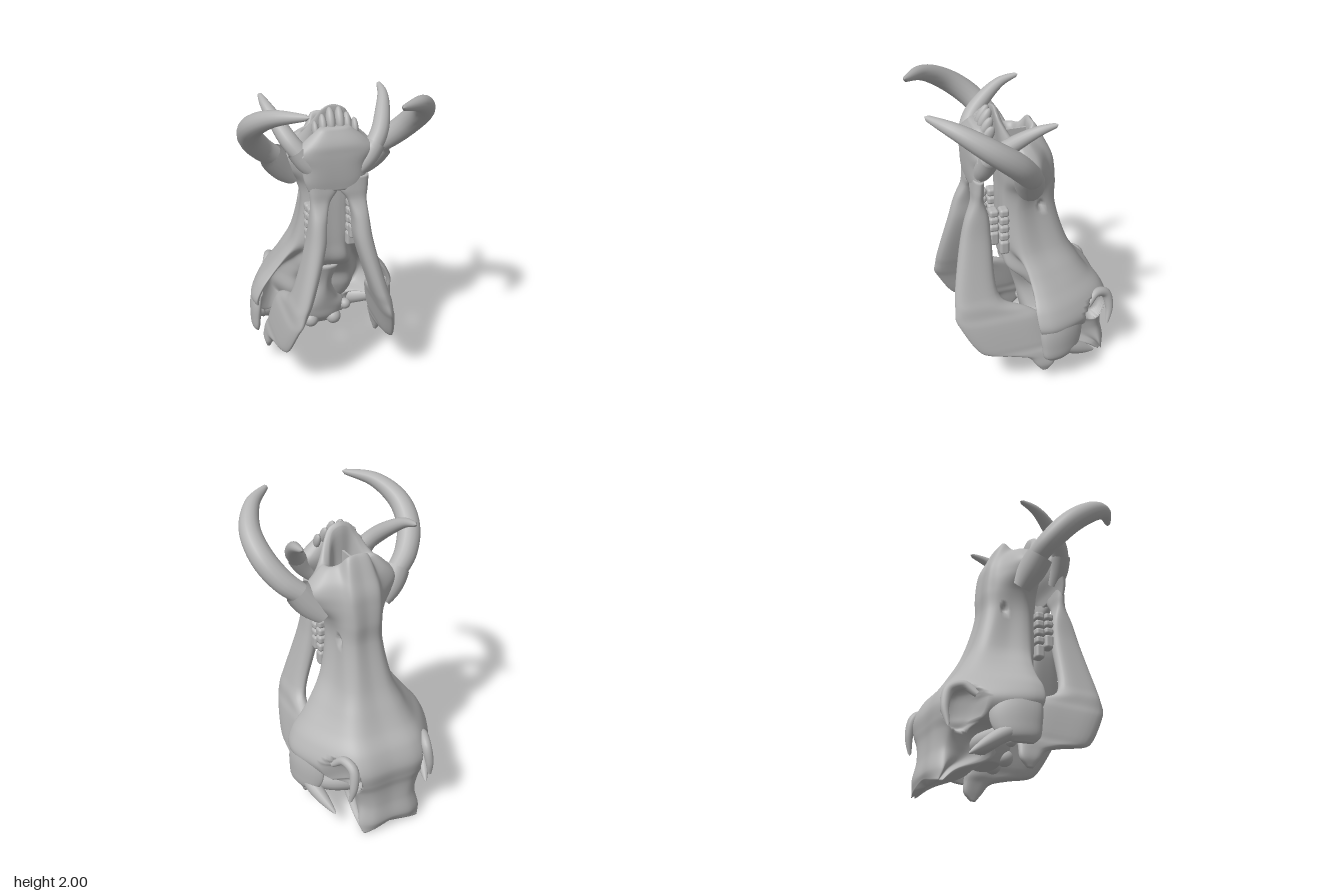
import * as THREE from 'three';
import { RoundedBoxGeometry } from 'three/addons/geometries/RoundedBoxGeometry.js';

const V = (x, y, z) => new THREE.Vector3(x, y, z);

// Smooth closed skin through a stack of control rings; optional rule moves each point.
function skin(rings, around, along, rule) {
  const n = rings[0].length * around;
  const dense = rings.map(r => new THREE.CatmullRomCurve3(r, true).getPoints(n).slice(0, n));
  const rows = (rings.length - 1) * along;
  const pos = new Float32Array((n * (rows + 1) + 2) * 3);
  const index = [];
  for (let j = 0; j < n; j++) {
    const column = new THREE.CatmullRomCurve3(dense.map(r => r[j])).getPoints(rows);
    column.forEach((p, i) => {
      if (rule) rule(p);
      p.toArray(pos, (i * n + j) * 3);
    });
  }
  const bottom = n * (rows + 1), top = bottom + 1;
  for (const [cap, row] of [[bottom, 0], [top, rows]]) {
    const c = V(0, 0, 0);
    for (let j = 0; j < n; j++) c.add(V().fromArray(pos, (row * n + j) * 3));
    c.divideScalar(n).toArray(pos, cap * 3);
  }
  for (let j = 0; j < n; j++) {
    const k = (j + 1) % n;
    index.push(j, k, bottom, rows * n + k, rows * n + j, top);
    for (let i = 0; i < rows; i++) {
      const a = i * n + j, b = i * n + k, c = b + n, d = a + n;
      index.push(a, d, c, a, c, b);
    }
  }
  const g = new THREE.BufferGeometry();
  g.setAttribute('position', new THREE.BufferAttribute(pos, 3));
  g.setIndex(index);
  g.computeVertexNormals();
  return g;
}

// Rounded horizontal section; bend pulls its ends inward.
function oval([y, x, h, zf, zb], bend = 0) {
  const ring = [];
  for (let i = 0; i < 8; i++) {
    const c = Math.cos(i * Math.PI / 4), s = Math.sin(i * Math.PI / 4);
    const z = (zf + zb) / 2 + (zf - zb) / 2 * Math.sign(s) * Math.abs(s) ** 0.75;
    const px = x + h * Math.sign(c) * Math.abs(c) ** 0.75;
    ring.push(V(px - bend * (z + 0.1) ** 2, y, z));
  }
  return ring;
}

// Cranium section: narrow back, flaring sides, a hollow behind the cheek, then the palate.
function craniumRing([y, wB, zB, wF, zF, zH, zP], s = 1, lift = 0) {
  const d = zF - zB;
  const half = [[0, zB], [wB * .65, zB], [wB, zB + Math.min(.05, d * .35)], [wF * .9, zB + d * .55],
    [wF, zB + d * .85], [wF * .95, zF], [wF * .65, zH], [wF * .4, zP], [0, zP]];
  const full = half.concat(half.slice(1, 8).reverse().map(([x, z]) => [-x, z]));
  const arch = Math.max(0, .05 - y / 2);
  return full.map(([x, z]) => V(x * s, y + arch * (1 - Math.abs(x) / wF)
    + lift * (z > 0 ? 1 : .6) * Math.min(1, (z / .12) ** 2) * (1 - (x / .2) ** 2), z * s));
}

// Round tube whose radius swells to mid and tapers from start to end.
function horn(points, start, mid, end, segments = 28) {
  const curve = new THREE.CatmullRomCurve3(points.map(p => V(...p)));
  const g = new THREE.TubeGeometry(curve, segments, 1, 16);
  const p = g.attributes.position, v = V();
  for (let i = 0; i < p.count; i++) {
    const u = Math.floor(i / 17) / segments;
    const taper = start * (1 - u) ** 2 + end * u * u + 2 * u * (1 - u) * (2 * mid - (start + end) / 2);
    const c = curve.getPointAt(u);
    const r = u === 1 ? 0 : taper;
    v.fromBufferAttribute(p, i).sub(c).multiplyScalar(r).add(c);
    p.setXYZ(i, v.x, v.y, v.z);
  }
  return g;
}

function mirrored(g) {
  const m = g.clone().scale(-1, 1, 1), ix = m.index;
  for (let i = 0; i < ix.count; i += 3) {
    const t = ix.getX(i);
    ix.setX(i, ix.getX(i + 1));
    ix.setX(i + 1, t);
  }
  return m;
}

export function createModel() {
  const model = new THREE.Group();
  const bone = new THREE.MeshStandardMaterial({ color: 0xb4b4b4 });
  bone.name = 'boneGrey';
  const add = (name, g) => {
    const mesh = new THREE.Mesh(g, bone);
    mesh.name = name;
    model.add(mesh);
  };
  const pair = (name, g) => {
    add(name + 'Left', g);
    add(name + 'Right', mirrored(g));
  };

  // Cranium: height, back width, back z, side width, side z, hollow z, palate z
  const cranium = [
    [0, .2, -.59, .2, -.545, -.54, -.54],
    [.07, .22, -.6, .215, -.46, -.46, -.46],
    [.2, .2, -.58, .2, -.22, -.22, -.22],
    [.31, .23, -.575, .25, -.25, -.22, -.18],
    [.38, .265, -.585, .42, -.08, -.3, -.15],
    [.47, .275, -.59, .485, -.03, -.3, -.12],
    [.58, .26, -.545, .45, -.015, -.25, -.1],
    [.68, .235, -.46, .375, -.02, -.16, -.02],
    [.78, .205, -.395, .3, -.01, -.05, .08],
    [.92, .165, -.32, .215, .02, .07, .1],
    [1.2, .13, -.24, .165, .04, .1, .11],
    [1.34, .13, -.24, .195, .03, .1, .11],
    [1.45, .14, -.23, .28, .04, .1, .115],
    [1.53, .14, -.215, .31, .04, .1, .115],
    [1.61, .13, -.18, .25, .03, .1, .115],
  ].map(s => craniumRing(s));
  // Nose rim, then its hollow: height, scale, lift
  for (const [y, s, lift] of [[1.67, 1, .2], [1.65, .8, .2], [1.56, .6, 0], [1.53, .25, 0]]) {
    cranium.push(craniumRing([y, .1, -.1, .17, .03, .11, .135], s, lift));
  }
  // Eye sockets and small nerve openings, pressed into the sides: y, z, radii, depth
  const pits = [[.43, -.475, .125, .1, .15], [1.21, -.13, .035, .025, .03]];
  add('cranium', skin(cranium, 10, 8, p => {
    for (const [y, z, ry, rz, d] of pits) {
      const e = ((p.y - y) / ry) ** 2 + ((p.z - z) / rz) ** 2;
      if (e < 1 && Math.abs(p.x) > .08) p.x -= Math.sign(p.x) * d * Math.sqrt(1 - e);
    }
  }));
  add('nasalSeptum', new THREE.BoxGeometry(.014, .16, .17).translate(0, 1.62, 0));
  pair('eyeSocketRim', horn([[.33, .5, -.4], [.29, .56, -.47], [.265, .53, -.55],
    [.275, .42, -.58], [.295, .29, -.562]], .02, .032, .008));

  // Lower cheek plates, their hind spikes and roots
  const cheek = [
    [.21, .45, .012, -.1, -.22], [.25, .46, .027, -.06, -.3], [.33, .46, .034, -.045, -.34],
    [.42, .455, .036, -.035, -.34], [.52, .44, .03, -.04, -.3],
  ];
  pair('cheekPlate', skin(cheek.map(s => oval(s, 1.5)), 4, 6));
  pair('cheekSpike', horn([[.43, .31, -.16], [.4, .24, -.29], [.34, .13, -.455]], .04, .044, .006));
  pair('cheekRoot', horn([[.12, .25, -.33], [.28, .26, -.29], [.43, .29, -.22]], .07, .06, .04));

  // Skull base
  const ball = (x, y, z, r) => new THREE.SphereGeometry(r, 20, 14).translate(x, y, z);
  const base = [
    [.19, 0, .1, -.12, -.25], [.25, 0, .14, -.07, -.3], [.33, 0, .17, -.05, -.3], [.41, 0, .11, -.03, -.3],
    [.55, 0, .06, 0, -.3], [.72, 0, .1, .05, -.2],
  ];
  add('skullBase', skin(base.map(s => oval(s)), 5, 6));
  pair('neckJoint', ball(.08, .235, -.1, .053));
  pair('earBulb', ball(.165, .32, -.1, .038));

  // Lower jaw
  const ramus = [
    [.09, .385, .012, -.07, -.11], [.14, .385, .025, -.03, -.155], [.205, .375, .03, .02, -.16],
    [.245, .365, .035, .14, -.16], [.285, .355, .035, .31, -.15], [.33, .345, .04, .36, -.14],
    [.5, .31, .045, .455, -.08], [.56, .29, .045, .48, 0], [.63, .27, .05, .475, .15],
    [.7, .245, .05, .47, .19], [1.05, .15, .055, .4, .2], [1.2, .133, .052, .36, .21],
    [1.31, .115, .062, .312, .238], [1.38, .095, .09, .306, .236], [1.46, .09, .1, .3, .235],
  ];
  pair('jawBranch', skin(ramus.map(s => oval(s)), 4, 6));
  const chin = [
    [1.385, 0, .165, .302, .242], [1.45, 0, .19, .31, .225], [1.54, 0, .21, .315, .18],
    [1.62, 0, .25, .315, .165], [1.68, 0, .2, .31, .17], [1.77, 0, .09, .265, .2],
  ];
  add('chin', skin(chin.map(s => oval(s, .15)), 6, 6));

  // Tusks in their sockets
  pair('upperTuskSocket', horn([[.2, 1.36, -.04], [.28, 1.45, -.01], [.35, 1.54, .02]], .06, .09, .085));
  pair('upperTusk', horn([[.3, 1.5, -.02], [.42, 1.6, .04], [.505, 1.73, .15], [.515, 1.85, .3],
    [.43, 1.945, .46], [.265, 1.985, .605]], .062, .071, .014, 42));
  pair('lowerTuskSocket', horn([[.12, 1.48, .25], [.19, 1.56, .245], [.25, 1.645, .23]], .045, .06, .06));
  pair('lowerTusk', horn([[.21, 1.6, .25], [.28, 1.69, .19], [.335, 1.785, .08], [.37, 1.85, -.03],
    [.38, 1.88, -.145]], .055, .047, .012, 32));

  // Cheek teeth, the hindmost one longer
  const molars = (name, count, step, top, z) => {
    for (let i = 0; i < count; i++) {
      const h = i === count - 1 ? .095 : step - .004;
      for (const s of [-1, 1]) {
        add(name, new RoundedBoxGeometry(.075, h, .062, 3, .018).translate(s * .135, top - i * step - h / 2, z));
      }
    }
  };
  molars('upperMolar', 5, .058, 1.235, .113);
  molars('lowerMolar', 4, .052, 1.24, .18);

  // Front teeth
  for (let i = 0; i < 3; i++) {
    pair('frontTooth', new THREE.SphereGeometry(1, 16, 12).scale(.028 - i * .004, .075 - i * .01, .032)
      .rotateX(-.5).translate(.028 + i * .047, 1.8 - i * .028, .195));
  }
  return model;
}
